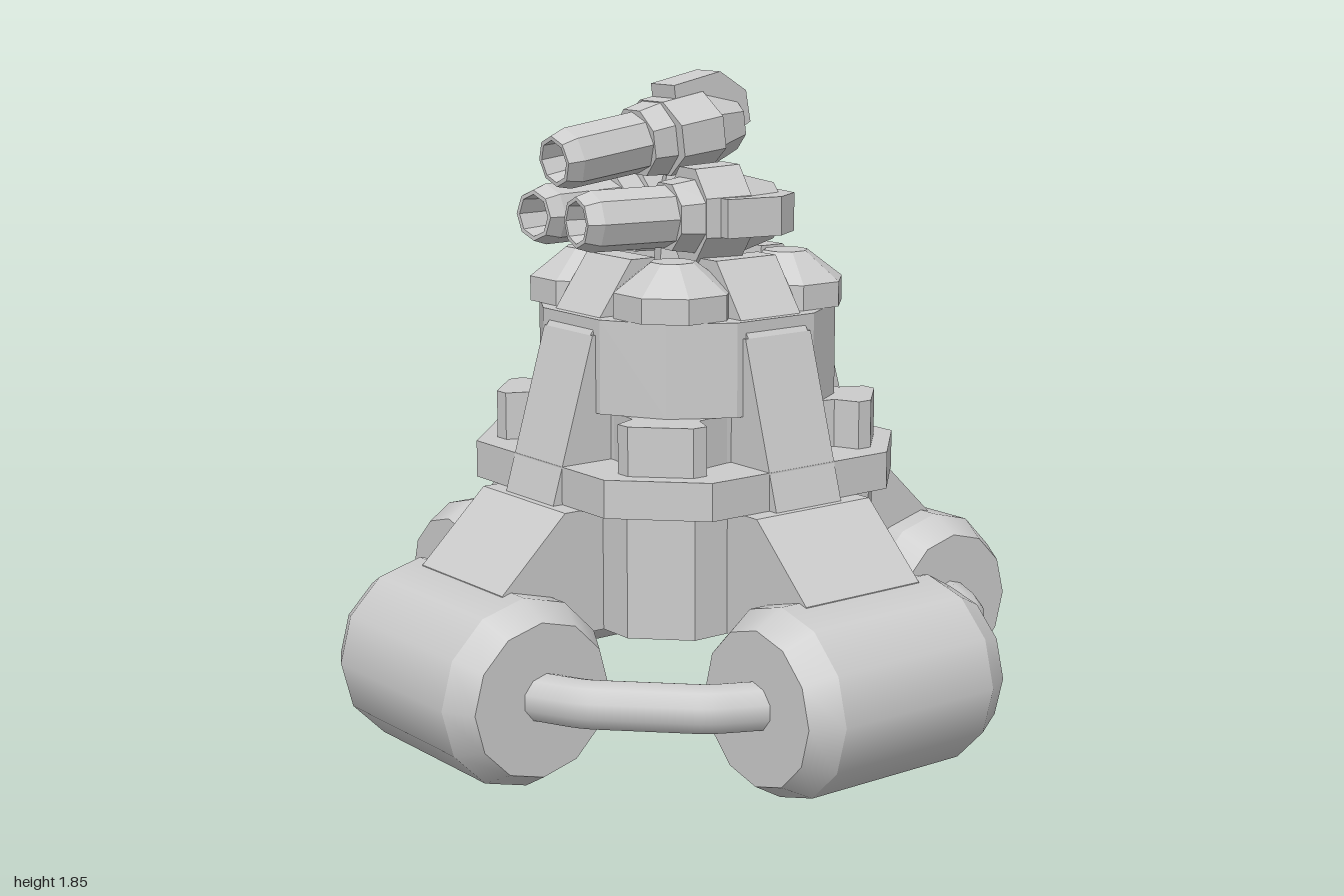
import * as THREE from 'three';

const flat = new THREE.MeshStandardMaterial({ color: 0xcccccc, flatShading: true, side: THREE.DoubleSide });
const smooth = new THREE.MeshStandardMaterial({ color: 0xcccccc });

function add(parent, name, geometry, material = flat) {
  const mesh = new THREE.Mesh(geometry, material);
  mesh.name = name;
  parent.add(mesh);
  return mesh;
}

// Upright prism whose plan repeats the given corner points in all four quadrants
function tier(corner, y0, y1, hollow) {
  const ring = points => {
    const pts = [], o = new THREE.Vector2();
    for (let q = 0; q < 4; q++) {
      points.forEach(([x, z]) => pts.push(new THREE.Vector2(x, z).rotateAround(o, q * Math.PI / 2)));
    }
    return pts;
  };
  const shape = new THREE.Shape(ring(corner));
  if (hollow) shape.holes.push(new THREE.Path(ring(hollow)));
  return new THREE.ExtrudeGeometry(shape, { depth: y1 - y0, bevelEnabled: false })
    .rotateX(-Math.PI / 2).translate(0, y0, 0);
}

// Profile of [z, y] points given a width along x
function slab(profile, width) {
  const shape = new THREE.Shape(profile.map(p => new THREE.Vector2(...p)));
  return new THREE.ExtrudeGeometry(shape, { depth: width, bevelEnabled: false })
    .translate(0, 0, -width / 2).rotateY(-Math.PI / 2);
}

// Octagonal section along z with flats facing the axes
function octagon(rFront, rBack, z0, z1) {
  return new THREE.CylinderGeometry(rFront, rBack, z1 - z0, 8)
    .rotateY(Math.PI / 8).rotateX(Math.PI / 2).translate(0, 0, (z0 + z1) / 2);
}

function createDrum() {
  const drum = new THREE.Group();
  drum.name = 'drum';
  const R = 0.26, r = 0.212, half = 0.345, bevel = 0.085;
  const parts = [
    ['drumShell', R, R, 2 * (half - bevel), 0, true],
    ['drumRimLeft', r, R, bevel, half - bevel / 2, false],
    ['drumRimRight', R, r, bevel, -half + bevel / 2, false],
  ];
  for (const [name, top, bottom, length, x, open] of parts) {
    add(drum, name, new THREE.CylinderGeometry(top, bottom, length, 12, 1, open)
      .rotateZ(-Math.PI / 2).translate(x, 0, 0), smooth);
  }
  drum.position.set(0, 0.26, 0.742);
  return drum;
}

// One gun along +z, with its breech housing towards +y
function createGun() {
  const gun = new THREE.Group();
  gun.name = 'gun';
  const barrel = [[0.086, 0.16], [0.084, 0.41], [0.07, 0.455], [0.058, 0.455], [0.052, 0.36], [0, 0.36]];
  add(gun, 'barrel', new THREE.LatheGeometry(barrel.map(p => new THREE.Vector2(...p)), 8)
    .rotateX(Math.PI / 2));
  add(gun, 'collar', octagon(0.098, 0.112, 0.09, 0.18));
  add(gun, 'receiver', octagon(0.112, 0.118, -0.03, 0.11).scale(1.25, 1, 1));
  add(gun, 'receiverBack', octagon(0.118, 0.085, -0.15, -0.03));
  add(gun, 'breechHousing', slab(
    [[0.065, 0.03], [0.065, 0.142], [-0.1, 0.153], [-0.185, 0.085], [-0.19, -0.005], [-0.06, -0.05]], 0.107));
  return gun;
}

export function createModel() {
  const model = new THREE.Group();
  model.name = 'gunTower';

  // Stacked body tiers, the lowest open underneath
  add(model, 'baseTier', tier([[0.44, 0.31], [0.31, 0.44]], 0.365, 0.71, [[0.425, 0.305], [0.305, 0.425]]));
  add(model, 'ledgeRing', tier([[0.515, 0.31], [0.31, 0.515]], 0.71, 0.815));
  add(model, 'cornerBlocks', tier([[0.35, 0.13], [0.37, 0.24], [0.44, 0.27], [0.44, 0.315],
    [0.315, 0.44], [0.27, 0.44], [0.24, 0.37], [0.13, 0.35]], 0.815, 0.95));
  add(model, 'upperTier', tier([[0.4, 0.135], [0.3, 0.3], [0.135, 0.4]], 0.95, 1.21));
  add(model, 'topDeck', tier([[0.24, 0.12], [0.12, 0.24]], 1.21, 1.27));

  // Connecting pipe path: three straight runs with rounded bends
  const [a, b, c, d] = [[0.3, 0.75], [0.45, 0.68], [0.68, 0.45], [0.75, 0.3]]
    .map(([x, z]) => new THREE.Vector3(x, 0.265, z));
  const mid = (p, q, t) => p.clone().lerp(q, t);
  const b0 = mid(b, a, 0.25), b1 = mid(b, c, 0.1), c0 = mid(c, b, 0.1), c1 = mid(c, d, 0.25);
  const pipePath = new THREE.CurvePath();
  pipePath.add(new THREE.LineCurve3(a, b0));
  pipePath.add(new THREE.QuadraticBezierCurve3(b0, b, b1));
  pipePath.add(new THREE.LineCurve3(b1, c0));
  pipePath.add(new THREE.QuadraticBezierCurve3(c0, c, c1));
  pipePath.add(new THREE.LineCurve3(c1, d));

  // Four sides: drum, leg, fin, pipe and corner dome
  const k = 1 / Math.cos(Math.PI / 8);
  for (let i = 0; i < 4; i++) {
    const side = new THREE.Group();
    side.name = 'side';
    side.rotation.y = i * Math.PI / 2;
    side.add(createDrum());
    add(side, 'leg', slab([[0.43, 0.365], [0.43, 0.71], [0.565, 0.71], [0.77, 0.515], [0.77, 0.365]], 0.4));
    add(side, 'fin', slab([[0.2, 0.7], [0.2, 1.165], [0.41, 1.165], [0.545, 0.71]], 0.23));
    add(side, 'finTop', slab([[0.16, 1.165], [0.19, 1.36], [0.27, 1.36], [0.41, 1.165]], 0.21));
    add(side, 'pipe', new THREE.TubeGeometry(pipePath, 28, 0.067, 10), smooth);
    add(side, 'domeBase', new THREE.CylinderGeometry(0.155 * k, 0.155 * k, 0.07, 8)
      .rotateY(Math.PI / 8).translate(0.2, 1.245, 0.2));
    add(side, 'domeTop', new THREE.CylinderGeometry(0.058 * k, 0.155 * k, 0.08, 8)
      .rotateY(Math.PI / 8).translate(0.2, 1.32, 0.2));
    model.add(side);
  }

  // Gun mount
  add(model, 'mountNeck', new THREE.CylinderGeometry(0.08, 0.1, 0.2, 8).translate(0, 1.35, 0));
  add(model, 'mountHub', new THREE.CylinderGeometry(0.06, 0.1, 0.18, 6).translate(0, 1.52, 0));

  // Three guns converging forwards: one on top, one on each side
  const tilt = 0.13;
  const guns = [
    ['topGun', 0, 0, 1.69],
    ['leftGun', -Math.PI / 2, 0.16, 1.475],
    ['rightGun', Math.PI / 2, -0.16, 1.475],
  ];
  for (const [name, roll, x, y] of guns) {
    const mount = new THREE.Group();
    mount.name = name;
    const gun = createGun();
    gun.rotation.x = tilt;
    mount.add(gun);
    mount.rotation.z = roll;
    mount.position.set(x, y, 0);
    model.add(mount);
  }
  return model;
}
